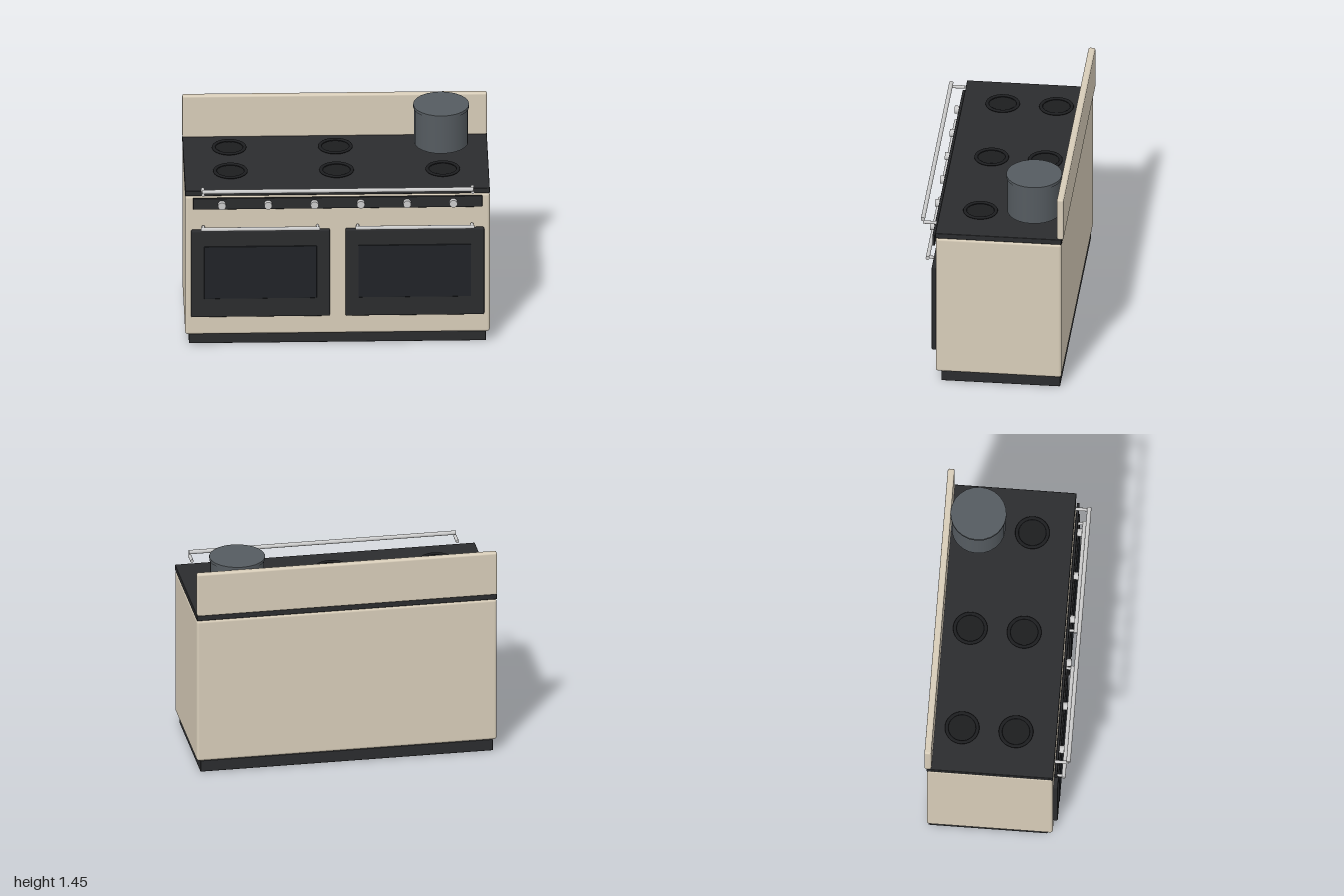
import * as THREE from 'three';
import { RoundedBoxGeometry } from 'three/addons/geometries/RoundedBoxGeometry.js';

const mat = (color) => new THREE.MeshStandardMaterial({ color });

export function createModel() {
  const cream = mat(0xd8cdb9), black = mat(0x2b2c2e), glass = mat(0x202327);
  const steel = mat(0xcccccc), iron = mat(0x1c1d1f), enamel = mat(0x555b60);
  const model = new THREE.Group();
  model.name = 'rangeCooker';

  const add = (name, geometry, material, x = 0, y = 0, z = 0, parent = model) => {
    const mesh = new THREE.Mesh(geometry, material);
    mesh.name = name;
    mesh.position.set(x, y, z);
    parent.add(mesh);
    return mesh;
  };
  // Rounded box given by its lower and upper limits
  const box = (name, material, [x0, x1], [y0, y1], [z0, z1], r, parent) =>
    add(name, new RoundedBoxGeometry(x1 - x0, y1 - y0, z1 - z0, 3, r), material,
      (x0 + x1) / 2, (y0 + y1) / 2, (z0 + z1) / 2, parent);
  // Rods lying along x or along z
  const rodX = (name, r, length, x, y, z, parent) =>
    add(name, new THREE.CylinderGeometry(r, r, length, 16).rotateZ(Math.PI / 2), steel, x, y, z, parent);
  const rodZ = (name, r, z0, z1, x, y, parent) =>
    add(name, new THREE.CylinderGeometry(r, r, z1 - z0, 16).rotateX(Math.PI / 2), steel, x, y, (z0 + z1) / 2, parent);

  // Cabinet
  box('plinth', black, [-0.975, 0.975], [0, 0.08], [-0.45, 0.335], 0.005);
  box('body', cream, [-1, 1], [0.08, 1.09], [-0.46, 0.37], 0.018);
  box('cooktop', black, [-1, 1], [1.092, 1.13], [-0.462, 0.372], 0.005);
  box('backsplash', cream, [-1, 1], [1.13, 1.432], [-0.475, -0.43], 0.012);

  // Control panel and knobs
  box('controlPanel', black, [-0.95, 0.95], [1.004, 1.085], [0.379, 0.396], 0.005);
  for (let i = 0; i < 6; i++) rodZ('knob', 0.026, 0.39, 0.428, -0.76 + i * 0.304, 1.043);

  // Oven doors with window and handle
  for (const side of [-1, 1]) {
    const door = new THREE.Group();
    door.name = side < 0 ? 'rightOvenDoor' : 'leftOvenDoor';
    door.position.x = side * 0.507;
    model.add(door);
    box('doorPanel', black, [-0.456, 0.456], [0.22, 0.85], [0.368, 0.4], 0.01, door);
    box('window', glass, [-0.37, 0.37], [0.358, 0.737], [0.39, 0.407], 0.003, door);
    rodX('handleBar', 0.013, 0.78, 0, 0.878, 0.433, door);
    for (const end of [-1, 1]) rodZ('handlePost', 0.01, 0.39, 0.435, end * 0.375, 0.878, door);
  }

  // Towel rail across the front
  rodX('towelRail', 0.014, 1.78, 0, 1.168, 0.465);
  for (const side of [-1, 1]) rodZ('railBracket', 0.011, 0.373, 0.465, side * 0.885, 1.144);

  // Burners
  const base = new THREE.CylinderGeometry(0.092, 0.092, 0.012, 32);
  const ring = new THREE.TorusGeometry(0.102, 0.012, 10, 32).rotateX(Math.PI / 2).scale(1, 0.7, 1);
  for (const x of [-0.697, 0, 0.697]) {
    for (const z of [-0.25, 0.105]) {
      add('burnerBase', base, iron, x, 1.134, z);
      add('burnerRing', ring, iron, x, 1.146, z);
    }
  }

  // Cooking pot
  add('pot', new THREE.CylinderGeometry(0.178, 0.178, 0.257, 24), enamel, 0.695, 1.297, -0.25);
  add('potLid', new THREE.CylinderGeometry(0.184, 0.184, 0.02, 24), enamel, 0.695, 1.435, -0.25);

  return model;
}
